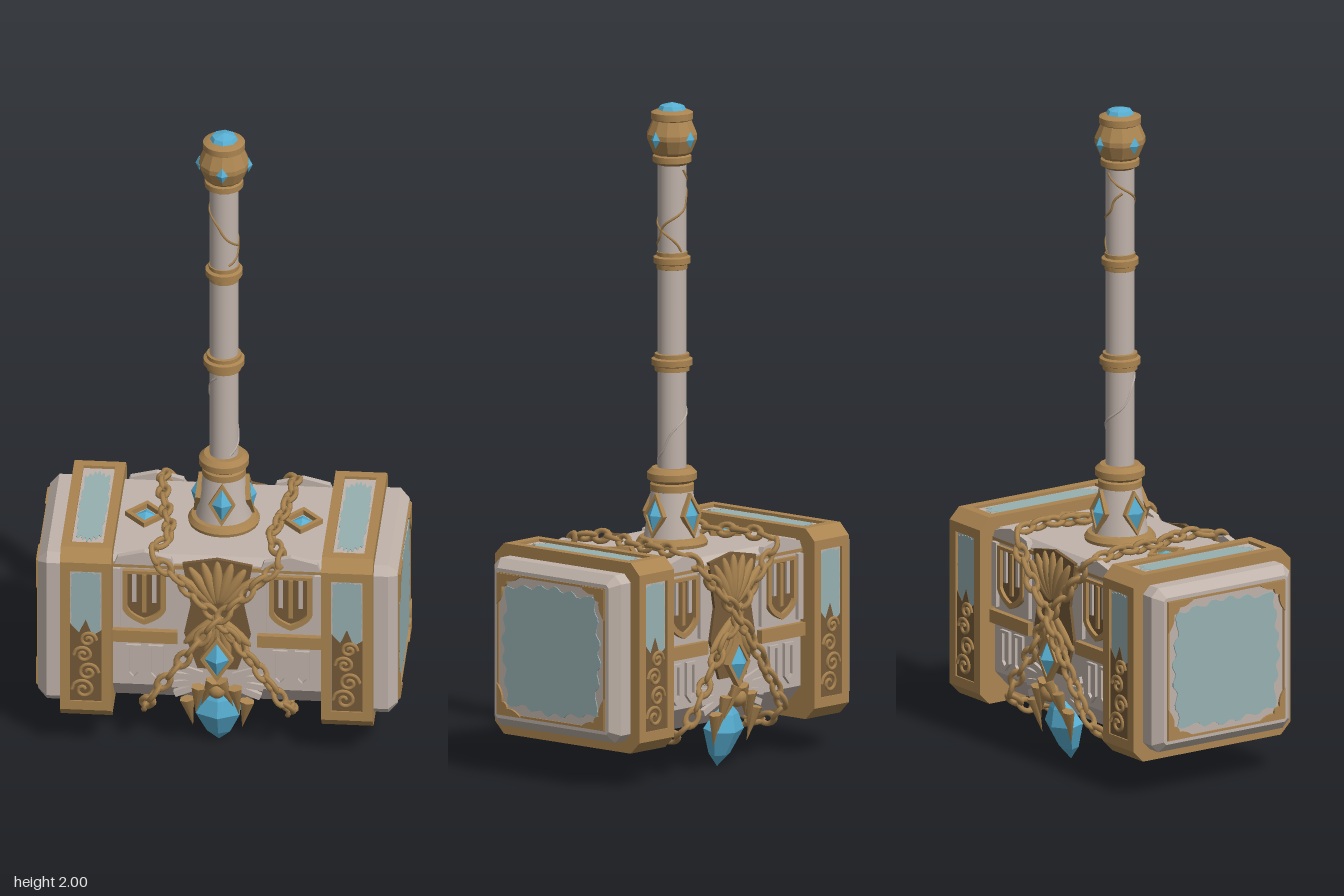
import * as THREE from 'three';
import { mergeGeometries, toCreasedNormals } from 'three/addons/utils/BufferGeometryUtils.js';

const mat = (name, color) => Object.assign(new THREE.MeshStandardMaterial({ color }), { name });
const stone = mat('stone', 0xc0b3aa), gold = mat('gold', 0xaa8450), darkGold = mat('darkGold', 0x765a38);
const gem = mat('gem', 0x58afd3), panel = mat('paleBlue', 0x97b0b1);

function add(parent, name, geo, material, pos = [0, 0, 0], rot = [0, 0, 0]) {
  const m = new THREE.Mesh(geo, material);
  m.name = name;
  m.position.set(...pos);
  m.rotation.set(...rot);
  parent.add(m);
  return m;
}
function group(parent, name, pos = [0, 0, 0], rot = [0, 0, 0]) {
  const g = new THREE.Group();
  g.name = name;
  g.position.set(...pos);
  g.rotation.set(...rot);
  parent.add(g);
  return g;
}
const box = (w, h, d) => new THREE.BoxGeometry(w, h, d);
const poly = pts => new THREE.Shape(pts.map(p => new THREE.Vector2(...p)));
const plate = (shape, depth) => new THREE.ExtrudeGeometry(shape, { depth, bevelEnabled: false, curveSegments: 8 });
const lathe = (pts, seg = 28) =>
  toCreasedNormals(new THREE.LatheGeometry(pts.map(p => new THREE.Vector2(...p)), seg), 0.5);

// Faceted stone with a pointed or blunt profile
function faceted(pts, seg = 6) {
  const g = new THREE.LatheGeometry(pts.map(p => new THREE.Vector2(...p)), seg).toNonIndexed();
  g.computeVertexNormals();
  return g;
}
const diamond = (w, h, d) => faceted([[0, -h], [w, 0], [0, h]], 4).scale(1, 1, d / w);
const rhombus = (w, h) => poly([[0, -h], [w, 0], [0, h], [-w, 0]]);
function diamondFrame(w, h, t) {
  const s = rhombus(w, h);
  s.holes.push(rhombus(w - t, h - t * h / w));
  return s;
}
// Rectangle with a worn, wavy outline
function worn(w, h, amp) {
  const pts = [];
  for (let i = 0; i < 96; i++) {
    const a = i / 96 * Math.PI * 2, c = Math.cos(a), s = Math.sin(a), m = Math.max(Math.abs(c), Math.abs(s));
    const r = (1 - amp * (0.5 - 0.5 * Math.cos(4 * a)) - amp * 0.5 * (1 + Math.sin(20 * a))) / m;
    pts.push([c * r * w, s * r * h]);
  }
  return poly(pts);
}
// Chamfered square section run along x, optionally with a recess in each side
function prism(x0, x1, half, cut, recess = 0, bevel = 0) {
  const pts = [], e = half - cut, n = e - 0.03;
  for (let k = 0; k < 4; k++) {
    const side = recess ? [[-e, half], [-n, half], [-n, half - recess], [n, half - recess], [n, half], [e, half]]
      : [[-e, half], [e, half]];
    const c = [1, 0, -1, 0][k], s = [0, -1, 0, 1][k];
    side.forEach(([x, y]) => pts.push([x * c - y * s, x * s + y * c]));
  }
  const g = new THREE.ExtrudeGeometry(poly(pts), { depth: x1 - x0 - 2 * bevel, bevelEnabled: bevel > 0,
    bevelSize: bevel, bevelOffset: -bevel, bevelThickness: bevel, bevelSegments: 1 });
  return g.translate(0, 0, x0 + bevel).rotateY(Math.PI / 2);
}
function scroll(r, dir) {
  const pts = [];
  for (let i = 0; i <= 14; i++) {
    const a = i / 14 * 9, k = r * (1 - i / 17);
    pts.push(new THREE.Vector3(Math.cos(a) * k * dir, Math.sin(a) * k, 0));
  }
  return new THREE.TubeGeometry(new THREE.CatmullRomCurve3(pts), 32, 0.006, 5);
}

function buildEnd(head, s) {
  const end = group(head, s > 0 ? 'leftEnd' : 'rightEnd', [0, 0.4, 0], [0, s > 0 ? 0 : Math.PI, 0]);
  add(end, 'strikingBlock', prism(0.4, 0.54, 0.255, 0.025, 0, 0.027), stone);
  add(end, 'bandInnerRim', prism(0.315, 0.345, 0.29, 0.035), gold);
  add(end, 'bandOuterRim', prism(0.44, 0.47, 0.29, 0.035), gold);
  add(end, 'bandCore', prism(0.345, 0.44, 0.29, 0.035, 0.012), gold);
  // Striking face inlay
  const face = group(end, 'strikingFace', [0.54, 0, 0], [0, Math.PI / 2, 0]);
  const rim = poly([[-0.217, -0.217], [0.217, -0.217], [0.217, 0.217], [-0.217, 0.217]]);
  rim.holes.push(poly([[-0.21, -0.21], [0.21, -0.21], [0.21, 0.21], [-0.21, 0.21]]));
  add(face, 'faceRim', plate(rim, 0.004), gold);
  add(face, 'faceInlay', plate(worn(0.2, 0.2, 0.07), 0.003), panel);
  for (let k = 0; k < 4; k++) {
    const c = new THREE.Shape();
    c.moveTo(0.215, 0.215);
    c.lineTo(0.12, 0.215);
    c.quadraticCurveTo(0.15, 0.19, 0.175, 0.195);
    c.quadraticCurveTo(0.175, 0.175, 0.195, 0.175);
    c.quadraticCurveTo(0.19, 0.15, 0.215, 0.12);
    add(face, 'cornerOrnament', plate(c, 0.008), gold, [0, 0, 0], [0, 0, k * Math.PI / 2]);
  }
  // Inlays sunk into the band: front, back and top
  [0, Math.PI, -Math.PI / 2].forEach((a, i) => {
    const side = group(end, ['bandFront', 'bandBack', 'bandTop'][i]);
    side.rotation.x = a;
    const inlay = group(side, 'bandInlay', [0.3925, 0, 0.278], [0, 0, i === 1 ? Math.PI : 0]);
    add(inlay, 'inlayBed', box(0.095, 0.45, 0.004), stone, [0, 0, 0.001]);
    if (i === 2) return add(inlay, 'inlayPanel', plate(worn(0.044, 0.21, 0.1), 0.002), panel, [0, 0, 0.003]);
    add(inlay, 'inlayPanel', plate(worn(0.046, 0.11, 0.05), 0.002), panel, [0, 0.113, 0.003]);
    const bed = poly([[-0.047, -0.225], [0.047, -0.225], [0.047, 0.02], [0.02, 0], [0, 0.055], [-0.02, 0.01], [-0.047, 0.04]]);
    add(inlay, 'filigreeBed', plate(bed, 0.003), darkGold, [0, 0, 0.004]);
    [-0.185, -0.125, -0.065, -0.012].forEach((y, k) =>
      add(inlay, 'filigreeScroll', scroll(0.035 - k * 0.003, k % 2 ? 1 : -1), gold, [k % 2 ? 0.007 : -0.007, y, 0.009]));
  });
}

function buildFacade(head, a) {
  const f = group(head, a ? 'backFacade' : 'frontFacade', [0, 0, 0], [0, a, 0]);
  add(f, 'topTrim', box(0.63, 0.012, 0.014), gold, [0, 0.625, 0.236]);
  for (const s of [-1, 1]) {
    const niche = group(f, 'niche', [s * 0.22, 0, 0.235]);
    const arch = (w, top, low) => {
      const p = new THREE.Shape();
      p.moveTo(-w, top); p.lineTo(-w, low + w * 0.8);
      p.quadraticCurveTo(-w * 0.8, low + w * 0.3, 0, low);
      p.quadraticCurveTo(w * 0.8, low + w * 0.3, w, low + w * 0.8);
      p.lineTo(w, top);
      return p;
    };
    const frame = arch(0.065, 0.61, 0.425);
    frame.holes.push(arch(0.05, 0.6, 0.443));
    add(niche, 'nicheRecess', plate(arch(0.06, 0.605, 0.43), 0.003), darkGold);
    add(niche, 'nicheFrame', plate(frame, 0.014), gold);
    [-0.03, 0, 0.03].forEach(x => add(niche, 'nicheBar', box(0.013, x ? 0.1 : 0.13, 0.01), x ? stone : gold, [x, x ? 0.55 : 0.53, 0.005]));
    [-0.083, 0.083].forEach(x => add(niche, 'pilaster', box(0.022, 0.2, 0.02), stone, [x, 0.515, 0.002]));
    add(niche, 'crest', plate(poly([[-0.09, 0.63], [0.09, 0.63], [0.08, 0.655], [0, 0.675], [-0.08, 0.655]]), 0.02), stone, [0, 0, -0.01]);
    add(niche, 'crossBar', box(0.2, 0.04, 0.03), gold, [0, 0.385, 0.004]);
    [-0.032, 0.035].forEach(x => {
      const p = poly([[-0.022, 0.35], [-0.022, 0.25], [0, 0.225], [0.022, 0.25], [0.022, 0.35]]);
      p.holes.push(poly([[-0.013, 0.341], [-0.013, 0.254], [0, 0.24], [0.013, 0.254], [0.013, 0.341]]));
      add(niche, 'pointedPlaque', plate(p, 0.01), stone, [x, 0, 0]);
    });
  }
  // Central gold leaf fan with stone rays below it
  add(f, 'centrePanel', plate(poly([[-0.105, 0.64], [-0.08, 0.5], [-0.1, 0.4], [-0.06, 0.28], [0.06, 0.28], [0.1, 0.4],
    [0.08, 0.5], [0.105, 0.64], [0, 0.66]]), 0.012), darkGold, [0, 0, 0.233]);
  for (let i = -3; i <= 3; i++) {
    const t = i * 0.27, leaf = new THREE.SphereGeometry(1, 8, 8).scale(0.017, 0.075, 0.014);
    add(f, 'fanLeaf', leaf, gold, [Math.sin(t) * 0.09, 0.49 + Math.cos(t) * 0.09, 0.247], [0, 0, -t]);
    add(f, 'lowerLeaf', leaf, gold, [Math.sin(t) * 0.065, 0.46 - Math.cos(t) * 0.065, 0.245], [0, 0, t]);
  }
  for (const s of [-1, 1]) for (let i = 0; i < 4; i++) {
    const t = 1.75 + i * 0.24 - 0.5;
    add(f, 'stoneRay', box(0.02, 0.09, 0.016), stone, [s * Math.sin(t) * 0.095, 0.24 + Math.cos(t) * 0.095, 0.237], [0, 0, -s * t]);
  }
  // Small diamond and hanging crystal with its claws
  add(f, 'diamondMount', plate(diamondFrame(0.05, 0.075, 0.012), 0.02), gold, [0, 0.325, 0.252]);
  add(f, 'diamond', diamond(0.042, 0.065, 0.03), gem, [0, 0.325, 0.263]);
  const drop = group(f, 'hangingCrystal', [0, 0.1, 0.203], [0.22, 0, 0]);
  add(drop, 'crystal', faceted([[0, -0.102], [0.04, -0.06], [0.076, 0.02], [0.045, 0.07], [0, 0.11]]).scale(1, 1, 0.62), gem);
  for (const s of [-1, 1]) {
    [[0.082, 0.035, 0.35], [0.06, 0.085, 0.6], [0.03, 0.115, 0.85]].forEach(([x, y, r]) =>
      add(drop, 'claw', new THREE.ConeGeometry(0.024, 0.11, 6).scale(1, 1, 0.7), gold, [s * x, y, 0.035], [0, 0, Math.PI + s * (r - 0.5)]));
  }
  add(drop, 'clawCap', new THREE.SphereGeometry(0.03, 10, 8), gold, [0, 0.13, 0.03]);
}

// Closed loop of alternating links slung diagonally around the head
function buildChain(head, s) {
  const o = s * 0.008;
  const curve = new THREE.CatmullRomCurve3([
    [0.19, 0.665, 0.235], [0.1, 0.57, 0.258 + o], [0, 0.46, 0.265 + o], [-0.11, 0.31, 0.262 + o], [-0.21, 0.16, 0.25],
    [-0.215, 0.115, 0.18], [-0.2, 0.105, 0], [-0.215, 0.115, -0.18], [-0.21, 0.16, -0.25], [-0.11, 0.31, -0.262 - o],
    [0, 0.46, -0.265 - o], [0.1, 0.57, -0.258 - o], [0.19, 0.665, -0.235], [0.195, 0.682, -0.15], [0.175, 0.678, 0], [0.155, 0.682, 0.15],
  ].map(p => new THREE.Vector3(p[0] * s, p[1], p[2])), true);
  const n = Math.round(curve.getLength() / 0.051 / 2) * 2, links = [];
  for (let i = 0; i < n; i++) {
    const p = curve.getPointAt(i / n), t = curve.getTangentAt(i / n);
    const out = new THREE.Vector3(0, p.y - 0.4, p.z).normalize();
    const b = new THREE.Vector3().crossVectors(out, t).normalize();
    const m = new THREE.Matrix4().makeBasis(t, b, new THREE.Vector3().crossVectors(t, b)).setPosition(p);
    links.push(new THREE.TorusGeometry(0.0175, 0.0085, 6, 14).scale(1.5, 1, 1)
      .rotateX(i % 2 ? 0.4 : 0.4 + Math.PI / 2).applyMatrix4(m));
  }
  add(head, 'chain', mergeGeometries(links), gold);
}

function buildHandle(root) {
  const h = group(root, 'handle');
  add(h, 'shaft', new THREE.CylinderGeometry(0.043, 0.043, 1.15, 28), stone, [0, 1.25, 0]);
  add(h, 'baseRing', lathe([[0.105, 0.65], [0.108, 0.665], [0.098, 0.68], [0.07, 0.685]]), gold);
  add(h, 'socket', lathe([[0.085, 0.68], [0.078, 0.72], [0.062, 0.83]]), stone);
  add(h, 'socketCollar', lathe([[0.05, 0.815], [0.066, 0.82], [0.066, 0.84], [0.06, 0.845], [0.075, 0.855], [0.075, 0.875], [0.06, 0.89], [0.04, 0.89]]), gold);
  [[1.21, 0.062], [1.52, 0.056]].forEach(([y, r]) => add(h, 'shaftRing', lathe([[0.04, y - 0.028], [r - 0.01, y - 0.026],
    [r - 0.01, y - 0.012], [r, y - 0.008], [r, y + 0.01], [r - 0.01, y + 0.014], [r - 0.01, y + 0.026], [0.04, y + 0.028]]), gold));
  // Pommel
  add(h, 'pommelCollar', lathe([[0.042, 1.81], [0.058, 1.82], [0.058, 1.838], [0.045, 1.845]]), gold);
  add(h, 'pommel', faceted([[0.045, 1.835], [0.06, 1.85], [0.077, 1.89], [0.077, 1.905], [0.058, 1.95]], 12), gold);
  add(h, 'pommelCap', lathe([[0.052, 1.943], [0.063, 1.95], [0.063, 1.97], [0.045, 1.978], [0, 1.978]]), gold);
  add(h, 'topGem', faceted([[0.047, 1.97], [0.036, 1.99], [0, 2]], 8), gem);
  for (let k = 0; k < 4; k++) {
    const side = group(h, 'handleSide', [0, 0, 0], [0, k * Math.PI / 2, 0]);
    add(side, 'pommelGem', diamond(0.018, 0.026, 0.012), gem, [0, 1.893, 0.074]);
    add(side, 'socketGemMount', plate(diamondFrame(0.04, 0.068, 0.009), 0.016), gold, [0, 0.75, 0.068], [-0.12, 0, 0]);
    add(side, 'socketGem', diamond(0.033, 0.06, 0.024), gem, [0, 0.75, 0.075], [-0.12, 0, 0]);
  }
  // Fine vines winding up the shaft
  [[0.9, 1.17, 0.5, 5.5], [1.55, 1.8, 3, -6], [1.56, 1.74, 0.4, 4]].forEach(([y0, y1, a0, turn]) => {
    const pts = [];
    for (let i = 0; i <= 16; i++) {
      const t = i / 16, a = a0 + turn * t + 0.25 * Math.sin(t * 12);
      pts.push(new THREE.Vector3(Math.sin(a) * 0.043, y0 + (y1 - y0) * t, Math.cos(a) * 0.043));
    }
    add(h, 'vine', new THREE.TubeGeometry(new THREE.CatmullRomCurve3(pts), 48, 0.004, 5), y0 > 1 ? gold : stone);
  });
}

export function createModel() {
  const root = new THREE.Group();
  root.name = 'warHammer';
  const head = group(root, 'head');
  const section = poly([[-0.215, 0.655], [-0.235, 0.635], [-0.235, 0.21], [-0.165, 0.135], [0.165, 0.135], [0.235, 0.21], [0.235, 0.635], [0.215, 0.655]]);
  add(head, 'headBody', plate(section, 0.66).translate(0, 0, -0.33).rotateY(Math.PI / 2), stone);
  for (const s of [-1, 1]) {
    buildEnd(head, s);
    buildChain(head, s);
    const top = group(head, 'topDiamond', [s * 0.235, 0.653, 0], [-Math.PI / 2, 0, 0]);
    add(top, 'topDiamondFrame', plate(diamondFrame(0.062, 0.068, 0.018), 0.018), gold);
    add(top, 'topDiamondGem', diamond(0.046, 0.05, 0.018), gem);
  }
  [0, Math.PI].forEach(a => buildFacade(head, a));
  buildHandle(root);
  return root;
}
